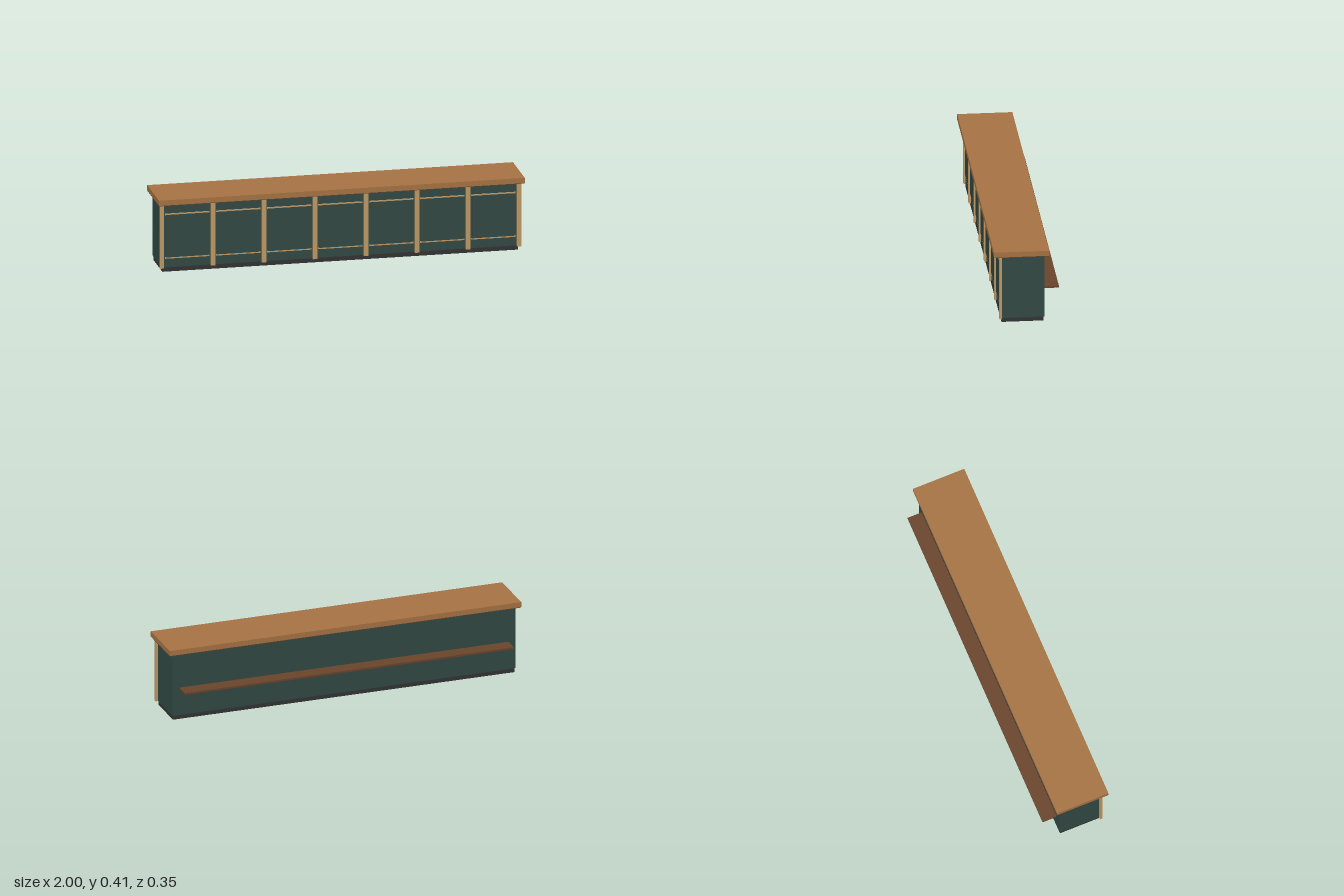
import * as THREE from 'three';

const material = (name, color) => {
  const m = new THREE.MeshStandardMaterial({ color });
  m.name = name;
  return m;
};

export function createModel() {
  const counter = new THREE.Group();
  counter.name = 'barCounter';
  const paint = material('darkGreenPaint', 0x324a45);
  const wood = material('counterWood', 0xa87444);
  const trim = material('lightWoodTrim', 0xc29a66);
  const darkWood = material('darkWood', 0x6b452b);
  const kick = material('charcoal', 0x343434);

  // Box given by its lower and upper limits on each axis
  const box = (name, mat, [x0, x1], [y0, y1], [z0, z1]) => {
    const mesh = new THREE.Mesh(new THREE.BoxGeometry(x1 - x0, y1 - y0, z1 - z0), mat);
    mesh.position.set((x0 + x1) / 2, (y0 + y1) / 2, (z0 + z1) / 2);
    mesh.name = name;
    counter.add(mesh);
  };

  // Main volumes
  box('kickBase', kick, [-0.972, 0.972], [0, 0.024], [-0.091, 0.135]);
  box('body', paint, [-0.976, 0.976], [0.024, 0.38], [-0.095, 0.135]);
  box('countertop', wood, [-1, 1], [0.382, 0.411], [-0.119, 0.178]);
  box('countertopUnderside', darkWood, [-0.999, 0.999], [0.379, 0.382], [-0.118, 0.177]);
  box('topMoulding', darkWood, [-0.976, 0.976], [0.373, 0.379], [0.134, 0.14]);
  box('backShelf', darkWood, [-0.936, 0.936], [0.171, 0.182], [-0.177, -0.094]);

  // Front posts, with a raised panel and two thin rails in each bay
  const bays = 7, pitch = 0.279;
  for (let i = 0; i <= bays; i++) {
    const x = (i - bays / 2) * pitch;
    box('frontPost', trim, [x - 0.012, x + 0.012], [0.021, 0.371], [0.134, 0.147]);
    if (i === bays) break;
    const c = x + pitch / 2;
    box('frontPanel', paint, [c - 0.116, c + 0.116], [0.08, 0.317], [0.134, 0.14]);
    for (const y of [0.077, 0.32])
      box('panelRail', trim, [c - 0.121, c + 0.121], [y - 0.004, y + 0.004], [0.134, 0.1395]);
  }
  return counter;
}
